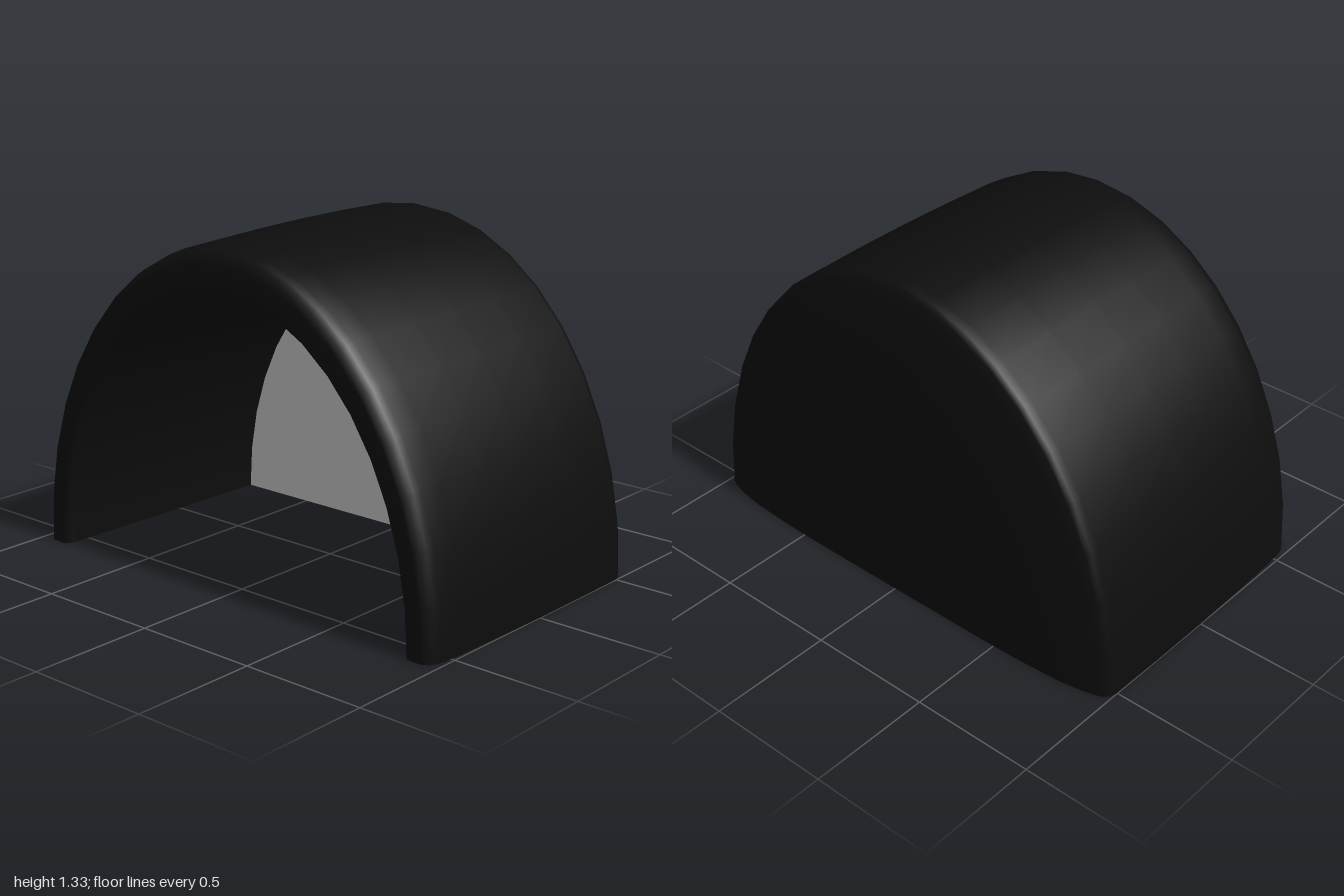
import * as THREE from 'three';

const HEIGHT = 1.33; // arch height relative to its half width
const SEGMENTS = 20; // facets around the arch

// Half turn of a profile [radius, z] about the z axis, stretched into a tall arch
function archSurface(profile) {
  const points = profile.map(([r, z]) => new THREE.Vector2(r, z));
  const geometry = new THREE.LatheGeometry(points, SEGMENTS, Math.PI / 2, Math.PI);
  geometry.rotateX(Math.PI / 2);
  geometry.scale(1, HEIGHT, 1);
  return geometry;
}

export function createModel() {
  const group = new THREE.Group();
  group.name = 'archedShelter';

  const black = new THREE.MeshStandardMaterial({ color: 0x0d0d0d, side: THREE.DoubleSide });
  const grey = new THREE.MeshStandardMaterial({ color: 0xcccccc, side: THREE.DoubleSide });
  const panelZ = -0.42;
  const panelRadius = 0.827;

  // Shell: domed back, outer roof, rounded front lip, then the inner tunnel
  const shell = new THREE.Mesh(archSurface([
    [0, -0.605], [0.45, -0.604], [0.62, -0.6], [0.79, -0.59], [0.88, -0.576],
    [0.945, -0.56], [0.975, -0.547], [0.99, -0.53], [0.997, -0.5],
    [1, -0.25], [0.999, 0], [0.995, 0.22], [0.988, 0.45], [0.98, 0.54],
    [0.972, 0.57], [0.959, 0.592], [0.938, 0.605],
    [0.882, 0.605], [0.867, 0.597], [0.859, 0.582], [0.855, 0.55],
    [0.842, 0.1], [panelRadius, panelZ],
  ]), black);
  shell.name = 'shell';
  group.add(shell);

  // Flat panel closing the far end of the tunnel
  const outline = new THREE.Shape();
  for (let i = 0; i <= SEGMENTS; i++) {
    const t = (i / SEGMENTS) * Math.PI;
    const x = panelRadius * Math.cos(t);
    const y = panelRadius * HEIGHT * Math.sin(t);
    if (i === 0) outline.moveTo(x, y);
    else outline.lineTo(x, y);
  }
  const panel = new THREE.Mesh(new THREE.ShapeGeometry(outline), grey);
  panel.name = 'backPanel';
  panel.position.z = panelZ;
  group.add(panel);

  return group;
}
